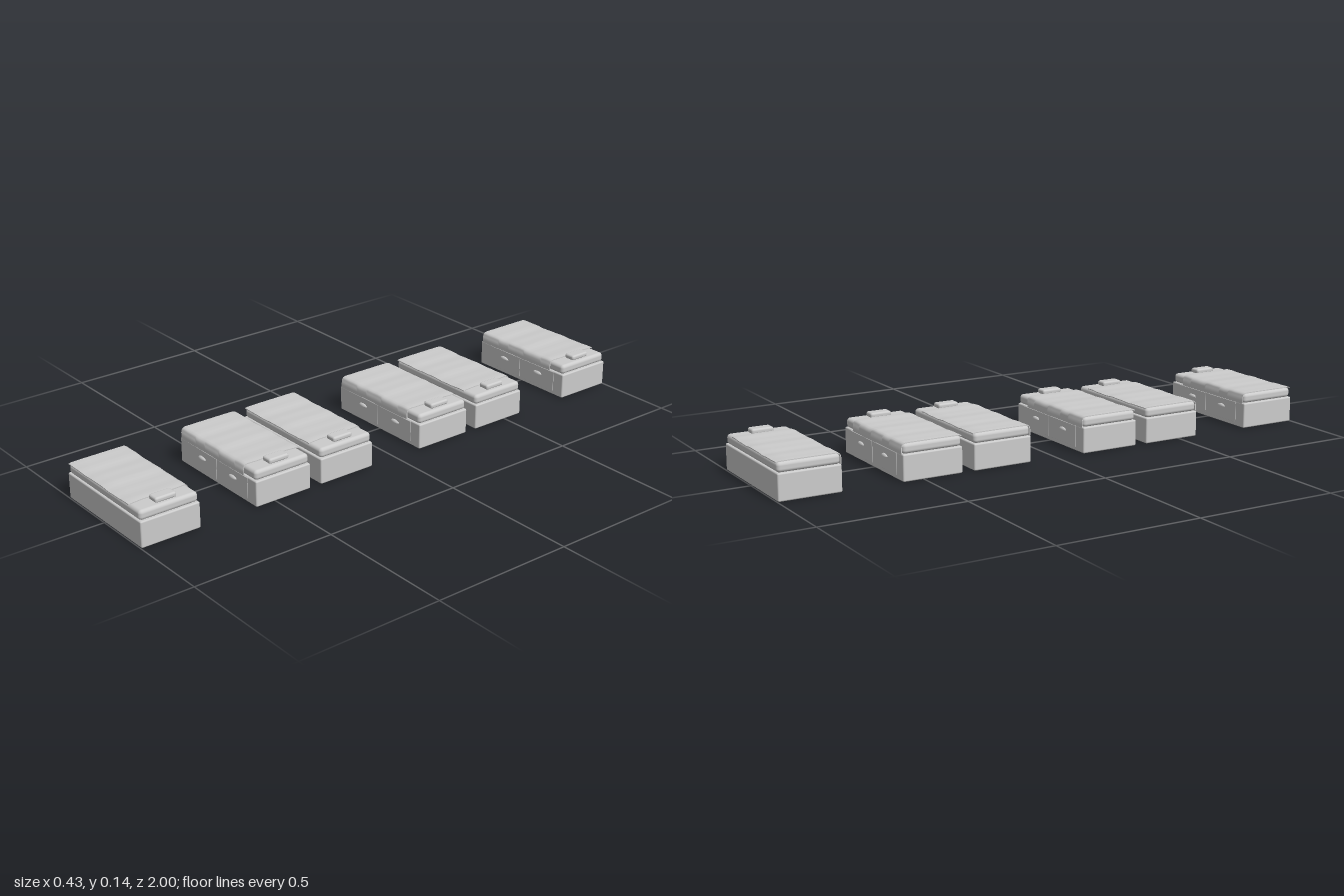
import * as THREE from 'three';
import { RoundedBoxGeometry } from 'three/addons/geometries/RoundedBoxGeometry.js';
import { toCreasedNormals } from 'three/addons/utils/BufferGeometryUtils.js';

const grey = new THREE.MeshStandardMaterial({ color: 0xcccccc });
const greyOpen = new THREE.MeshStandardMaterial({ color: 0xcccccc, side: THREE.DoubleSide });

function part(parent, name, geometry, x, y, z, material = grey) {
  const mesh = new THREE.Mesh(geometry, material);
  mesh.name = name;
  mesh.position.set(x, y, z);
  parent.add(mesh);
  return mesh;
}

// Thin wavy blanket lying on the mattress and hanging down over the drawer side.
function blanketGeometry(side) {
  // Cross-section as [z, y], outer face first, then back along the inner face.
  const outer = [[-0.107, 0.1235], [-0.1, 0.126], [-0.06, 0.1265], [0, 0.1265], [0.06, 0.1265],
    [0.094, 0.1262], [0.102, 0.1235], [0.107, 0.118], [0.1088, 0.11], [0.109, 0.098], [0.109, 0.088]];
  const inner = outer.map(([z, y], i) => i > 6 ? [z - 0.003, y] : [z, y - 0.003]).reverse();
  const section = [...outer, ...inner];
  const n = section.length, steps = 48, positions = [], index = [];
  for (let i = 0; i <= steps; i++) {
    const t = i / steps;
    const wave = 0.0009 * Math.sin(t * 15) + 0.0005 * Math.sin(t * 34 + 1);
    for (const [z, y] of section) {
      const onTop = THREE.MathUtils.clamp((y - 0.1) / 0.02, 0, 1);
      const edge = 0.0012 * Math.sin(t * 11) * Math.abs(z) / 0.109;
      const x = -0.206 + t * 0.356 + 0.002 * Math.sin(z * 40) * t;
      positions.push(x, y + wave * onTop, side * (z + Math.sign(z) * edge * 0.5));
    }
  }
  const tri = (a, b, c) => side > 0 ? index.push(a, b, c) : index.push(a, c, b);
  for (let i = 0; i < steps; i++) for (let j = 0; j < n; j++) {
    const k = (j + 1) % n, a = i * n + j, b = i * n + k;
    tri(a, b, b + n);
    tri(a, b + n, a + n);
  }
  // End caps join the outer face to the inner face.
  for (let j = 0; j < outer.length - 1; j++) {
    const a = j, b = j + 1, c = n - 2 - j, d = n - 1 - j, e = steps * n;
    tri(a, c, b); tri(a, d, c);
    tri(e + a, e + b, e + c); tri(e + a, e + c, e + d);
  }
  const g = new THREE.BufferGeometry();
  g.setAttribute('position', new THREE.Float32BufferAttribute(positions, 3));
  g.setIndex(index);
  return toCreasedNormals(g, 0.9);
}

// One bed with its head at +x; side is the z direction its drawers face.
function createBed(side) {
  const bed = new THREE.Group();
  part(bed, 'base', new RoundedBoxGeometry(0.43, 0.09, 0.214, 3, 0.005), 0, 0.045, 0);
  part(bed, 'mattress', new RoundedBoxGeometry(0.42, 0.034, 0.21, 4, 0.012), 0, 0.106, 0);
  part(bed, 'blanket', blanketGeometry(side), 0, 0, 0, greyOpen);
  part(bed, 'pillow', new RoundedBoxGeometry(0.041, 0.018, 0.076, 4, 0.007), 0.174, 0.13, 0);

  // Two drawers with cup pulls, open underneath.
  for (const x of [-0.086, 0.088]) {
    part(bed, 'drawerFront', new RoundedBoxGeometry(0.162, 0.074, 0.006, 2, 0.001), x, 0.05, side * 0.1055);
    const cup = new THREE.SphereGeometry(1, 20, 6, side > 0 ? Math.PI : 0, Math.PI, 0, Math.PI / 2);
    cup.rotateY(Math.PI);
    cup.scale(0.021, 0.009, 0.008);
    part(bed, 'drawerHandle', cup, x, 0.058, side * 0.108, greyOpen);
  }
  return bed;
}

export function createModel() {
  const model = new THREE.Group();
  model.name = 'bedRow';
  // Neighbouring beds face each other across the aisles.
  [-0.891, -0.467, -0.21, 0.21, 0.467, 0.891].forEach((z, i) => {
    const bed = createBed(i % 2 === 0 ? 1 : -1);
    bed.name = 'bed' + (i + 1);
    bed.position.z = z;
    model.add(bed);
  });
  return model;
}
